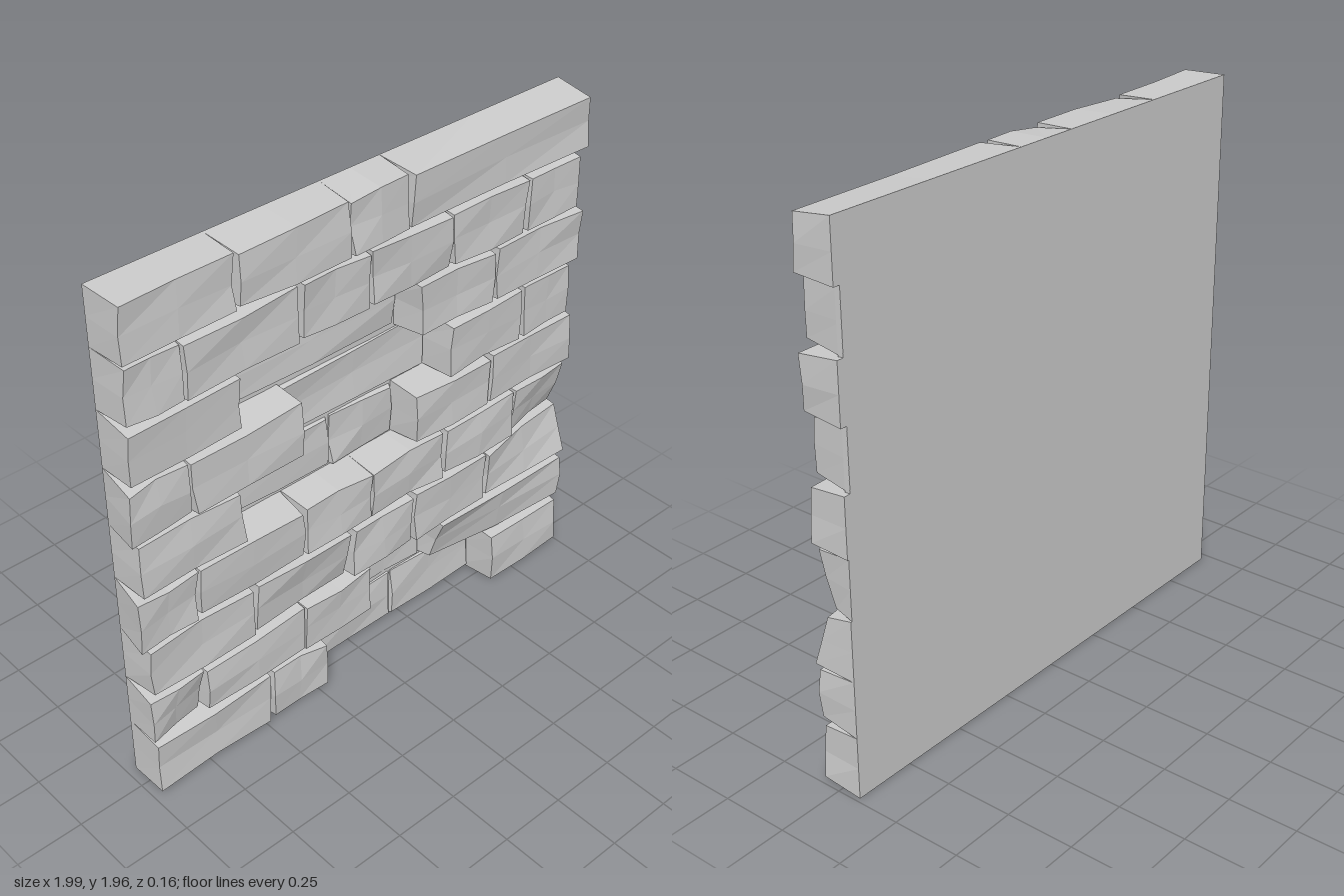
import * as THREE from 'three';

const BACK = -0.08;
const FRONT = 0.072;
const DEEP = -0.05; // front plane of sunken bricks

// Heights of the joints between courses, bottom to top
const LEVELS = [0.015, 0.245, 0.455, 0.675, 0.89, 1.105, 1.325, 1.54, 1.76, 1.97];

// Per course: joint positions, indices of sunken bricks, and
// dented corners as brick index -> depths [bottom left, bottom right, top left, top right]
const COURSES = [
  { x: [-0.97, -0.47, -0.21, 0.2, 0.62, 0.99], sunk: [2, 3] },
  { x: [-0.98, -0.75, -0.31, 0, 0.35, 0.99], sunk: [3],
    dents: { 0: [0.07, 0.02, 0.07, 0.07], 4: [0.0, 0.07, 0.07, 0.07] } },
  { x: [-0.97, -0.52, -0.09, 0.2, 0.57, 1.0], sunk: [],
    dents: { 1: [0.05, 0.03, 0.07, 0.07], 4: [0.07, 0.07, 0.07, 0.02] } },
  { x: [-1.0, -0.75, -0.3, 0, 0.35, 0.7, 0.98], sunk: [],
    dents: { 5: [0.05, 0.0, 0.07, 0.06] } },
  { x: [-0.97, -0.55, -0.09, 0.2, 0.56, 0.99], sunk: [1, 2] },
  { x: [-0.99, -0.75, -0.3, 0.35, 0.71, 0.96], sunk: [2] },
  { x: [-0.97, -0.54, 0.21, 0.56, 0.99], sunk: [1] },
  { x: [-0.97, -0.75, -0.3, -0.01, 0.35, 0.7, 0.96], sunk: [] },
  { x: [-0.97, -0.54, -0.09, 0.16, 0.995], sunk: [],
    dents: { 2: [0.07, 0.07, 0.06, 0.07] } },
];

// Repeatable value in -1..1
function noise(a, b, c) {
  const s = Math.sin(a * 12.99 + b * 78.23 + c * 37.72) * 43758.55;
  return (s - Math.floor(s)) * 2 - 1;
}

// Box whose back fills its cell exactly and whose front is chipped and slightly smaller
function brickGeometry(x0, x1, y0, y1, depths, seed) {
  const geometry = new THREE.BoxGeometry(1, 1, 1, 2, 2, 1);
  const p = geometry.attributes.position;
  for (let i = 0; i < p.count; i++) {
    const u = p.getX(i) + 0.5;
    const v = p.getY(i) + 0.5;
    let x = THREE.MathUtils.lerp(x0, x1, u);
    let y = THREE.MathUtils.lerp(y0, y1, v);
    let z = BACK;
    if (p.getZ(i) > 0) {
      const key = u * 4 + v * 20;
      x += (0.5 - u) * 0.016 + noise(seed, key, 1) * 0.007;
      y += (0.5 - v) * 0.026 + noise(seed, key, 2) * 0.008;
      const low = THREE.MathUtils.lerp(depths[0], depths[1], u);
      const high = THREE.MathUtils.lerp(depths[2], depths[3], u);
      z = THREE.MathUtils.lerp(low, high, v) + noise(seed, key, 3) * 0.008;
    } else {
      x = THREE.MathUtils.clamp(x, -0.965, 0.985);
    }
    p.setXYZ(i, x, y, z);
  }
  geometry.computeVertexNormals();
  return geometry;
}

export function createModel() {
  const wall = new THREE.Group();
  wall.name = 'brickWall';
  const stone = new THREE.MeshStandardMaterial({ color: 0xcccccc, flatShading: true });

  COURSES.forEach(({ x, sunk, dents = {} }, row) => {
    const course = new THREE.Group();
    course.name = `course${row + 1}`;
    for (let i = 0; i < x.length - 1; i++) {
      const flat = sunk.includes(i) ? DEEP : FRONT;
      const depths = dents[i] || [flat, flat, flat, flat];
      const geometry = brickGeometry(x[i], x[i + 1], LEVELS[row], LEVELS[row + 1], depths, row * 10 + i + 1);
      const brick = new THREE.Mesh(geometry, stone);
      brick.name = sunk.includes(i) ? 'sunkenBrick' : 'brick';
      course.add(brick);
    }
    wall.add(course);
  });

  // Thin backing behind the joints
  const backing = new THREE.Mesh(new THREE.BoxGeometry(1.92, 1.94, 0.02), stone);
  backing.name = 'backing';
  backing.position.set(0, 0.993, BACK + 0.011);
  wall.add(backing);
  return wall;
}
